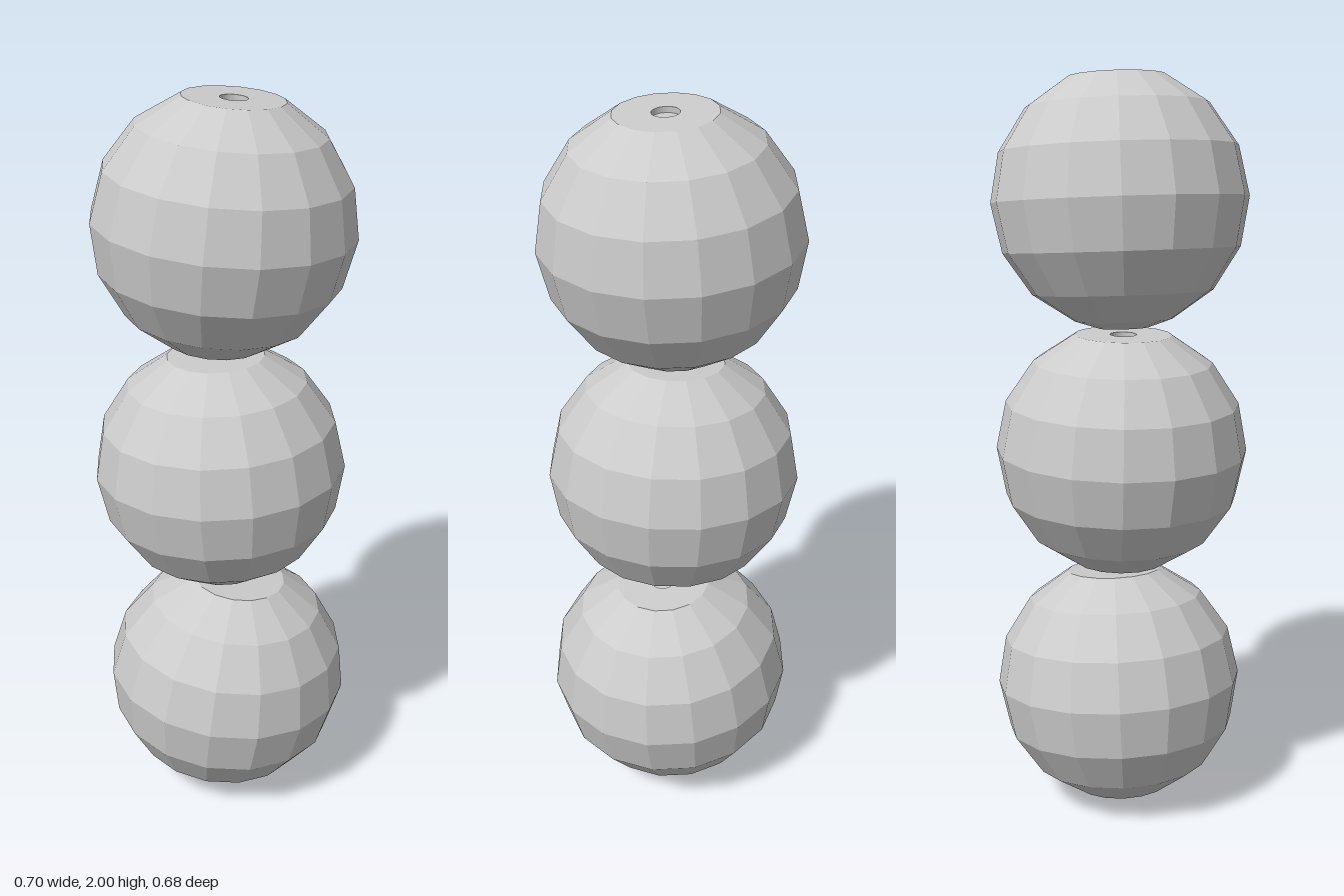
import * as THREE from 'three';

const RADIUS = 0.34;
const SIDES = 16;
const HOLE = 0.035;
const deg = THREE.MathUtils.degToRad;

export function createModel() {
  const model = new THREE.Group();
  model.name = 'beadStack';
  const faceted = new THREE.MeshStandardMaterial({ color: 0xcccccc, flatShading: true });
  const smooth = new THREE.MeshStandardMaterial({ color: 0xcccccc });

  // Faceted shell: small flat base, then rings every 22.5 degrees up to the top rim
  const profile = [new THREE.Vector2(0, -0.335), new THREE.Vector2(0.066, -0.335)];
  for (let i = 1; i <= 7; i++) {
    const a = (i * Math.PI) / 8;
    profile.push(new THREE.Vector2(RADIUS * Math.sin(a), -RADIUS * Math.cos(a)));
  }
  const rim = profile[profile.length - 1];
  const shellGeometry = new THREE.LatheGeometry(profile, SIDES);

  // Flat top with a round opening
  const top = new THREE.Shape();
  for (let i = 0; i < SIDES; i++) {
    const a = (i / SIDES) * Math.PI * 2;
    const x = rim.x * Math.cos(a), y = rim.x * Math.sin(a);
    if (i === 0) top.moveTo(x, y);
    else top.lineTo(x, y);
  }
  top.closePath();
  top.holes.push(new THREE.Path().absarc(0, 0, HOLE, 0, Math.PI * 2, true));
  const topGeometry = new THREE.ShapeGeometry(top, 32);
  topGeometry.rotateX(-Math.PI / 2).translate(0, rim.y, 0);

  // Shallow recess: wall and floor
  const depth = 0.015;
  const recessGeometry = new THREE.LatheGeometry([
    new THREE.Vector2(HOLE, rim.y),
    new THREE.Vector2(HOLE, rim.y - depth),
    new THREE.Vector2(0, rim.y - depth),
  ], 32);

  const parts = [
    ['shell', shellGeometry, faceted],
    ['flatTop', topGeometry, smooth],
    ['recess', recessGeometry, faceted],
  ];

  // Three beads, each tipped slightly to one side
  const beads = [
    ['bottomBead', 0.01, 0.341, -6],
    ['middleBead', -0.01, 1.011, 2],
    ['topBead', 0, 1.677, -4.5],
  ];
  for (const [name, x, y, tilt] of beads) {
    const bead = new THREE.Group();
    bead.name = name;
    for (const [partName, geometry, material] of parts) {
      const mesh = new THREE.Mesh(geometry, material);
      mesh.name = partName;
      bead.add(mesh);
    }
    bead.position.set(x, y, 0);
    bead.rotation.set(0, deg(-1), deg(tilt));
    model.add(bead);
  }
  return model;
}
